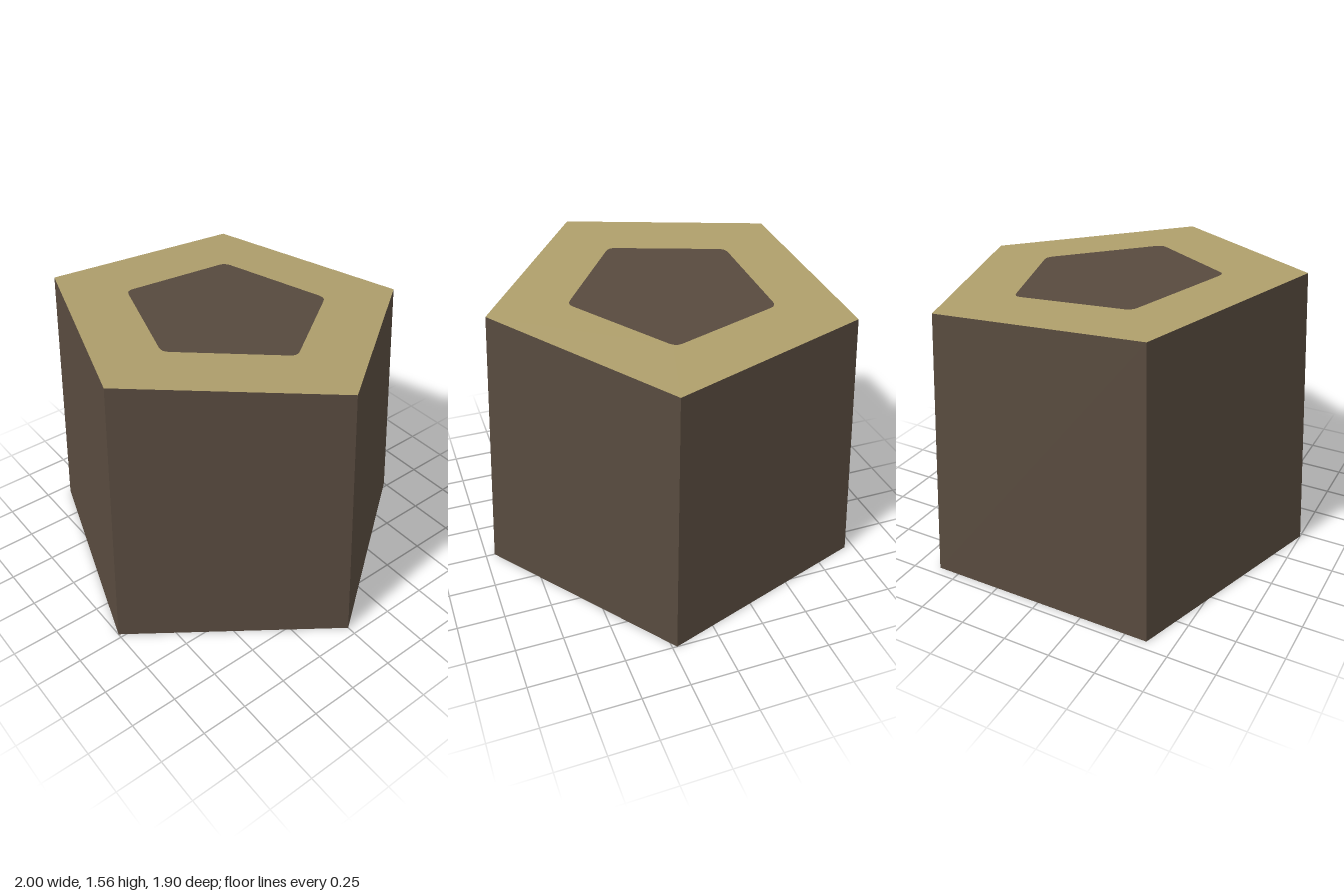
import * as THREE from 'three';

const SIDES = 5;
const BASE_R = 1.0515, TOP_R = 0.96, CORE_R = 0.55;
const CENTER_Z = -0.1;
const topHeight = (x) => 1.49 - 0.073 * x; // slanted cut

// Corners of a pentagon in the shape plane, one pointing to the front
function corners(radius) {
  return Array.from({ length: SIDES }, (_, i) => {
    const a = -Math.PI / 2 + (i * Math.PI * 2) / SIDES;
    return new THREE.Vector2(Math.cos(a) * radius, Math.sin(a) * radius);
  });
}

// Pentagon with softly rounded corners
function roundedPentagon(radius, cut) {
  const pts = corners(radius);
  const shape = new THREE.Shape();
  pts.forEach((p, i) => {
    const prev = pts[(i + SIDES - 1) % SIDES], next = pts[(i + 1) % SIDES];
    const a = p.clone().lerp(prev, cut), b = p.clone().lerp(next, cut);
    if (i === 0) shape.moveTo(a.x, a.y);
    else shape.lineTo(a.x, a.y);
    shape.quadraticCurveTo(p.x, p.y, b.x, b.y);
  });
  shape.closePath();
  return shape;
}

// Lay a shape onto the slanted cut
function onCut(shape) {
  const geo = new THREE.ShapeGeometry(shape, 4).rotateX(-Math.PI / 2);
  const pos = geo.attributes.position;
  for (let i = 0; i < pos.count; i++) pos.setY(i, topHeight(pos.getX(i)));
  geo.computeVertexNormals();
  return geo;
}

export function createModel() {
  const group = new THREE.Group();
  group.name = 'treeStump';

  const material = (name, color) => {
    const m = new THREE.MeshStandardMaterial({ color, flatShading: true });
    m.name = name;
    return m;
  };
  const bark = material('bark', 0x574a3e);
  const wood = material('cutWood', 0xae9e6b);
  const dark = material('underside', 0x3a3a3a);

  const add = (name, geo, mat) => {
    const mesh = new THREE.Mesh(geo, mat);
    mesh.name = name;
    mesh.position.z = CENTER_Z;
    group.add(mesh);
  };

  // Tapered five-sided trunk with its upper rim on the slanted cut
  const trunk = new THREE.CylinderGeometry(TOP_R, BASE_R, 1, SIDES, 1, true).toNonIndexed();
  const pos = trunk.attributes.position;
  for (let i = 0; i < pos.count; i++) pos.setY(i, pos.getY(i) > 0 ? topHeight(pos.getX(i)) : 0);
  trunk.computeVertexNormals();
  add('trunkBark', trunk, bark);

  // Pale cut ring around the brown heart
  const ring = new THREE.Shape(corners(TOP_R));
  const heart = roundedPentagon(CORE_R, 0.06);
  ring.holes.push(new THREE.Path(heart.getPoints(4)));
  add('cutRing', onCut(ring), wood);
  add('heartwood', onCut(heart), bark);

  // Underside, facing down
  const bottom = new THREE.CircleGeometry(BASE_R, SIDES, Math.PI / 2).rotateX(Math.PI / 2);
  add('underside', bottom, dark);

  return group;
}
